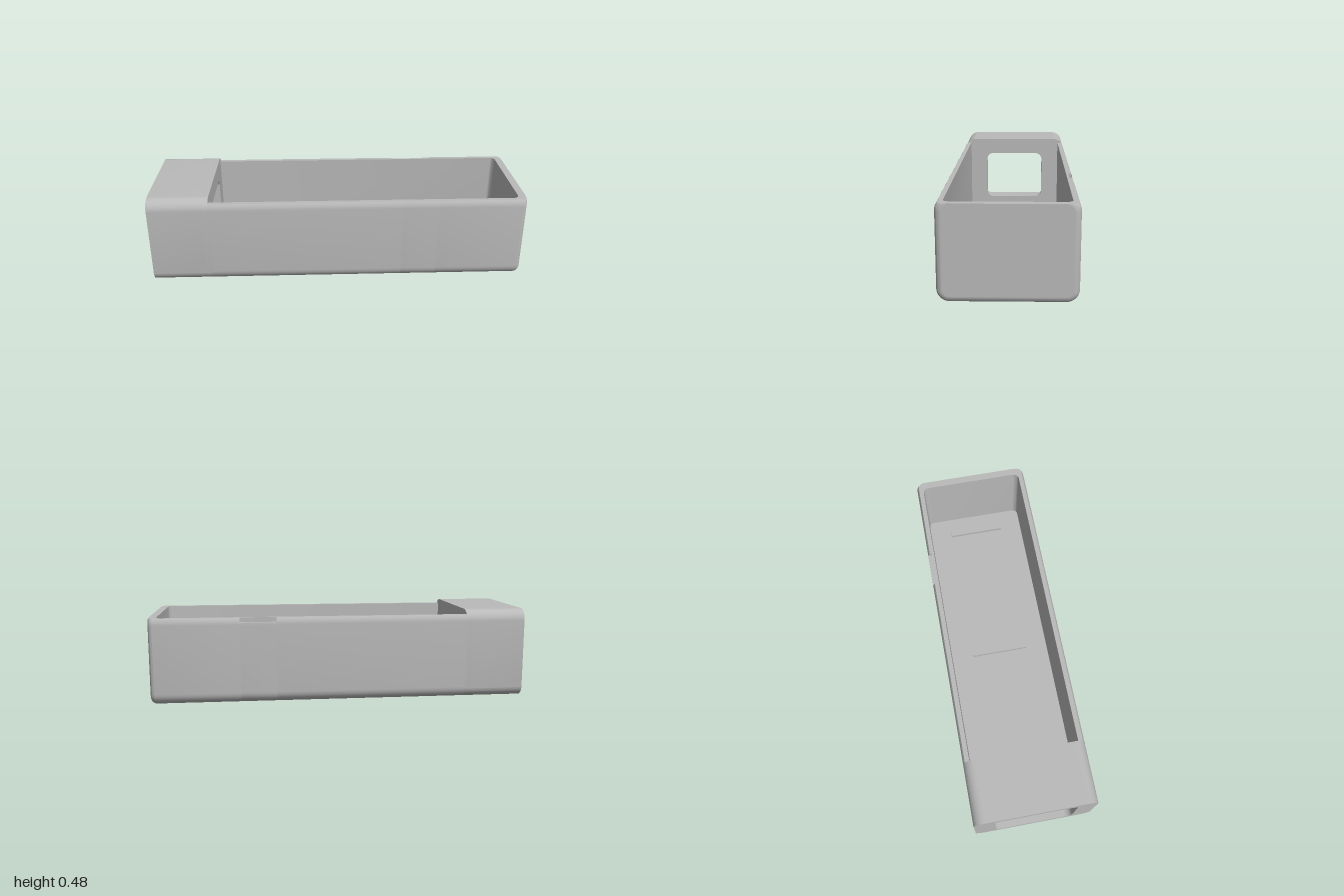
import * as THREE from 'three';
import { toCreasedNormals } from 'three/addons/utils/BufferGeometryUtils.js';

const RIM = 0.455, END = -0.68, FLOOR = 0.05, CAVITY = 0.285;
const NOTCH = { x0: 0.34, x1: 0.53, y: 0.43, z: -0.297 };

// Rounded rectangle centred on x = 0, between heights y0 and y1
function roundedRect(Type, w, y0, y1, r) {
  const s = new Type();
  s.absarc(w - r, y1 - r, r, 0, Math.PI / 2);
  s.absarc(-w + r, y1 - r, r, Math.PI / 2, Math.PI);
  s.absarc(-w + r, y0 + r, r, Math.PI, Math.PI * 1.5);
  s.absarc(w - r, y0 + r, r, Math.PI * 1.5, Math.PI * 2);
  s.closePath();
  return s;
}

// Skin between rings of [x, y, z] points
function loft(rings) {
  const n = rings[0].length, index = [];
  for (let r = 0; r < rings.length - 1; r++) {
    for (let i = 0; i < n - 1; i++) {
      const a = r * n + i, b = a + n;
      index.push(a, b, a + 1, b, b + 1, a + 1);
    }
  }
  const g = new THREE.BufferGeometry();
  g.setAttribute('position', new THREE.Float32BufferAttribute(rings.flat(2), 3));
  g.setIndex(index);
  return toCreasedNormals(g, 0.6);
}

// Open U section of the tray at x, inset by d, with its own back edge height
function section(x, d = 0, backTop = RIM) {
  const r = 0.06 - d, cz = 0.26, cy = 0.42, pts = [];
  const arc = (z, y, a0, a1) => {
    for (let i = 0; i <= 8; i++) {
      const a = a0 + (a1 - a0) * i / 8;
      pts.push([x, y + r * Math.sin(a), z + r * Math.cos(a)]);
    }
  };
  const rise = top => Math.asin(Math.min(1, (top - cy) / r));
  arc(-cz, cy, Math.PI - rise(backTop), Math.PI);
  arc(-cz, 0.06, Math.PI, Math.PI * 1.5);
  arc(cz, 0.06, Math.PI * 1.5, Math.PI * 2);
  arc(cz, cy, 0, rise(RIM));
  return pts;
}

export function createModel() {
  const model = new THREE.Group();
  const grey = new THREE.MeshStandardMaterial({ color: 0xbababa, side: THREE.DoubleSide });
  grey.name = 'grey plastic';
  const add = (name, geometry, parent = model) => {
    const mesh = new THREE.Mesh(geometry, grey);
    mesh.name = name;
    parent.add(mesh);
    return mesh;
  };

  // Covered sleeve and the thinner partition with a smaller window
  const slab = (name, x0, x1, hole) => {
    const shape = roundedRect(THREE.Shape, 0.32, 0, 0.48, 0.06);
    shape.holes.push(hole);
    const g = new THREE.ExtrudeGeometry(shape, { depth: x1 - x0, bevelEnabled: false, curveSegments: 10 });
    g.rotateY(Math.PI / 2).translate(x0, 0, 0);
    add(name, toCreasedNormals(g, 0.6));
  };
  slab('sleeve', -1, -0.71, roundedRect(THREE.Path, 0.217, 0.045, 0.43, 0.045));
  slab('partition', -0.71, END, roundedRect(THREE.Path, 0.18, 0.09, 0.385, 0.04));

  // Outer tray skin, with the closed end rounded over
  const tray = new THREE.Group();
  tray.name = 'tray';
  model.add(tray);
  const f = 0.03, endRings = [];
  for (let i = 0; i <= 8; i++) {
    const a = i / 8 * Math.PI / 2;
    endRings.push(section(1 - f + f * Math.sin(a), f * (1 - Math.cos(a))));
  }
  const { x0, x1 } = NOTCH;
  add('outerShell', loft([section(END), section(x0)]), tray);
  add('outerShellBelowNotch', loft([section(x0, 0, NOTCH.y), section(x1, 0, NOTCH.y)]), tray);
  add('outerShellEnd', loft([section(x1), ...endRings]), tray);
  const face = endRings[8].map(p => new THREE.Vector2(-p[2], p[1]));
  add('endFace', new THREE.ShapeGeometry(new THREE.Shape(face)).rotateY(Math.PI / 2).translate(1, 0, 0), tray);

  // Cavity walls and floor
  const cr = 0.03, cx = 0.96, path = [[END, -CAVITY]];
  for (const [sz, start] of [[-1, -Math.PI / 2], [1, 0]]) {
    for (let i = 0; i <= 6; i++) {
      const a = start + i / 6 * Math.PI / 2;
      path.push([cx - cr + cr * Math.cos(a), sz * (CAVITY - cr) + cr * Math.sin(a)]);
    }
  }
  path.push([END, CAVITY]);
  add('cavityWalls', loft([RIM, FLOOR].map(y => path.map(([x, z]) => [x, y, z]))), tray);
  const flat = pts => new THREE.Shape(pts.map(([x, z]) => new THREE.Vector2(x, -z)));
  add('cavityFloor', new THREE.ShapeGeometry(flat(path)).rotateX(-Math.PI / 2).translate(0, FLOOR, 0), tray);

  // Flat rim, stepping in around the notch
  const edge = section(0)[0][2];
  const back = endRings.map(r => [r[0][0], r[0][2]]);
  const outline = [[END, edge], [x0, edge], [x0, NOTCH.z], [x1, NOTCH.z], [x1, edge], ...back,
    ...back.map(([x, z]) => [x, -z]).reverse(), [END, -edge], ...path.slice().reverse()];
  add('rim', new THREE.ShapeGeometry(flat(outline)).rotateX(-Math.PI / 2).translate(0, RIM, 0), tray);

  // Latch notch in the back wall: shelf, back and two cheeks
  const shelfZ = section(0, 0, NOTCH.y)[0][2];
  const width = x1 - x0, mid = (x0 + x1) / 2, depth = NOTCH.z - shelfZ, high = RIM - NOTCH.y;
  add('notchShelf', new THREE.PlaneGeometry(width, depth).rotateX(-Math.PI / 2)
    .translate(mid, NOTCH.y, (NOTCH.z + shelfZ) / 2), tray);
  add('notchBack', new THREE.PlaneGeometry(width, high).rotateY(Math.PI)
    .translate(mid, NOTCH.y + high / 2, NOTCH.z), tray);
  const cheek = new THREE.Shape([[-NOTCH.z, NOTCH.y], [-NOTCH.z, RIM], [-edge, RIM], [-shelfZ, NOTCH.y]]
    .map(p => new THREE.Vector2(...p)));
  for (const x of [x0, x1]) {
    add('notchCheek', new THREE.ShapeGeometry(cheek).rotateY(Math.PI / 2).translate(x, 0, 0), tray);
  }

  // Low ribs across the floor
  for (const x of [0.025, 0.848]) {
    add('floorRib', new THREE.BoxGeometry(0.028, 0.02, 0.32)).position.set(x, FLOOR + 0.01, 0);
  }
  return model;
}
